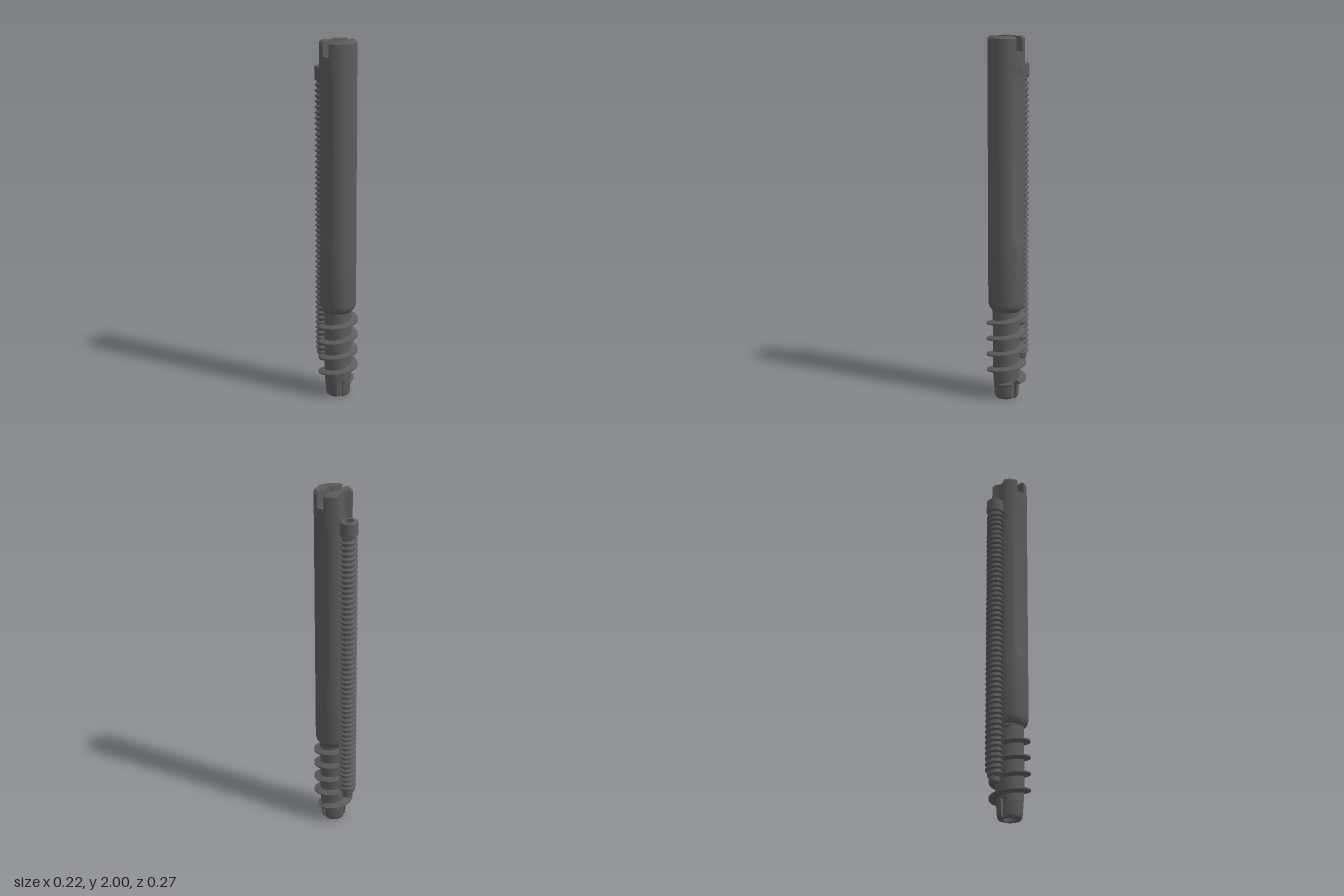
import * as THREE from 'three';
import { toCreasedNormals } from 'three/addons/utils/BufferGeometryUtils.js';

const RAD = Math.PI / 180;
const BORE = 0.036, SLOT = 0.022, FLAT = 0.09;

// Collects quads as triangles and returns a geometry with creased normals
function quadBuilder() {
  const pos = [];
  const tri = (a, b, c) => {
    const n = b.clone().sub(a).cross(c.clone().sub(a));
    if (n.length() > 1e-10) for (const p of [a, b, c]) pos.push(p.x, p.y, p.z);
  };
  return {
    quad(a, b, c, d) { tri(a, b, c); tri(a, c, d); },
    build(crease = 0.6) {
      const g = new THREE.BufferGeometry();
      g.setAttribute('position', new THREE.Float32BufferAttribute(pos, 3));
      return toCreasedNormals(g, crease);
    },
  };
}

const polar = (r, deg, y) => new THREE.Vector3(r * Math.cos(deg * RAD), y, r * Math.sin(deg * RAD));
const angleGap = (a, b) => Math.abs(((a - b + 540) % 360 + 360) % 360 - 180);

// Hollow solid: every ring is { y, out(angle), inn(angle) }, zero-thickness spans stay open
function loft(rings, angles) {
  const q = quadBuilder();
  const pts = rings.map(({ y, out, inn }) => angles.map((a) => {
    const o = out(a), i = Math.min(inn(a), o);
    return { o: polar(o, a, y), i: polar(i, a, y), thick: o - i };
  }));
  const last = rings.length - 1;
  for (let k = 0; k < angles.length; k++) {
    const n = (k + 1) % angles.length;
    const solid = (r) => pts[r][k].thick + pts[r][n].thick > 1e-5;
    for (let r = 0; r < last; r++) {
      if (!solid(r)) continue;
      const [lo, hi] = [pts[r], pts[r + 1]];
      q.quad(lo[k].o, hi[k].o, hi[n].o, lo[n].o);
      q.quad(lo[n].i, hi[n].i, hi[k].i, lo[k].i);
    }
    const [b, t] = [pts[0], pts[last]];
    q.quad(b[k].o, b[n].o, b[n].i, b[k].i);
    q.quad(t[k].i, t[n].i, t[n].o, t[k].o);
  }
  return q.build();
}

// Right-handed helical ridge; radius is cut by limit(angle, y)
function thread({ y0, y1, pitch, phase = 0, root, tip, base, crest, taper, angles, limit = () => 9 }) {
  const q = quadBuilder();
  const down = [...angles].reverse();
  let prev = null;
  for (let turn = -1; turn <= (y1 - y0) / pitch + 1; turn++) {
    for (const a of down) {
      const y = y0 + phase + pitch * (turn + 1 - a / 360);
      if (y < y0 || y > y1) continue;
      const fade = Math.min(1, (y - y0) / taper, (y1 - y) / taper);
      const top = root + (tip - root) * fade;
      const cut = limit(a, y) * 0.985;
      const row = [[root, -base], [top, -crest], [top, crest], [root, base]]
        .map(([r, h]) => polar(Math.min(r, cut), a, y + h));
      if (prev) for (let j = 0; j < 3; j++) q.quad(prev[j], row[j], row[j + 1], prev[j + 1]);
      prev = row;
    }
  }
  return q.build();
}

// Rear channel that cradles the small screw: round floor with flared lips
function channel(a) {
  const d = angleGap(a, 270) * RAD;
  if (d < 24.5 * RAD) {
    return 0.109 * Math.cos(d) - Math.sqrt(0.05 ** 2 - (0.109 * Math.sin(d)) ** 2);
  }
  if (d > 36 * RAD) return 9;
  const [ax, ay, bx, by] = [0.032, 0.07, 0.062, 0.094];
  return (ax * (by - ay) - ay * (bx - ax)) / (Math.sin(d) * (by - ay) - Math.cos(d) * (bx - ax));
}

// Everything cut out of the shaft at a given angle and height
function shaftLimit(a, y) {
  if (y < 0.1) return [7, 127, 247].some((c) => angleGap(a, c) < 14) ? 0.054 : 9;
  return y > 0.17 ? channel(a) : 9;
}

function sortedAngles(step, extras) {
  const set = new Set(extras.map((a) => (a + 360) % 360));
  for (let a = 0; a < 360; a += step) set.add(a);
  return [...set].sort((a, b) => a - b);
}

export function createModel() {
  const group = new THREE.Group();
  const steel = new THREE.MeshStandardMaterial({ color: 0x5c5c5c });
  steel.name = 'dark steel';
  const add = (name, geometry, parent) => {
    const mesh = new THREE.Mesh(geometry, steel);
    mesh.name = name;
    parent.add(mesh);
    return mesh;
  };

  // Angles that carry the edges of the channel, slot, flats and cutting flutes
  const extras = [];
  for (let d = 20; d <= 36; d++) extras.push(270 - d, 270 + d);
  const slotAngle = Math.asin(SLOT / 0.1) / RAD, flatAngle = Math.acos(FLAT / 0.1) / RAD;
  for (const e of [slotAngle, flatAngle]) extras.push(e, -e, 180 - e, 180 + e);
  for (const c of [7, 127, 247]) extras.push(c - 14.2, c - 13.8, c + 13.8, c + 14.2);
  const angles = sortedAngles(5, extras);

  const shaft = new THREE.Group();
  shaft.name = 'shaft';
  shaft.position.z = 0.022;
  group.add(shaft);

  // Outer ring with optional side flats
  const ring = (y, R, flat, inn) => ({
    y,
    out: (a) => Math.min(R, flat / Math.max(1e-6, Math.abs(Math.cos(a * RAD))), shaftLimit(a, y)),
    inn,
  });
  const bore = () => BORE;
  const profile = [
    [0, 0.058], [0.006, 0.064], [0.018, 0.067], [0.0999, 0.073], [0.1001, 0.073],
    [0.1699, 0.075], [0.1701, 0.075], [0.5, 0.076], [0.512, 0.086], [0.525, 0.095], [0.545, 0.1],
    [0.87, 0.1], [0.9, 0.1, 0.097], [0.925, 0.1, 0.093], [0.95, 0.1, FLAT],
    [1.79, 0.1, FLAT], [1.81, 0.1, 0.093], [1.83, 0.1, 0.097], [1.85, 0.1], [1.92, 0.1],
  ];
  add('shaftBody', loft(profile.map(([y, R, flat = 9]) => ring(y, R, flat, bore)), angles), shaft);

  // Head split by the driver slot, with a chamfered rim
  const slotted = (a) => Math.max(BORE, SLOT / Math.max(1e-6, Math.abs(Math.sin(a * RAD))));
  add('slottedHead', loft([[1.92, 0.1], [1.988, 0.1], [2, 0.089]]
    .map(([y, R]) => ring(y, R, 9, slotted)), angles), shaft);

  // Coarse thread at the lower end
  add('coarseThread', thread({
    y0: 0.07, y1: 0.51, pitch: 0.09, phase: 0.03, root: 0.062, tip: 0.11,
    base: 0.019, crest: 0.004, taper: 0.035, angles, limit: shaftLimit,
  }), shaft);

  // Small locking screw lying in the channel
  const screw = new THREE.Group();
  screw.name = 'lockingScrew';
  screw.position.z = -0.0855;
  group.add(screw);

  const core = [[0, 0.175], [0.024, 0.175], [0.029, 0.181], [0.029, 0.205], [0.036, 0.215], [0.036, 1.785]]
    .map(([x, y]) => new THREE.Vector2(x, y));
  add('screwCore', toCreasedNormals(new THREE.LatheGeometry(core, 32), 0.6), screw);
  add('fineThread', thread({
    y0: 0.21, y1: 1.785, pitch: 0.03, root: 0.034, tip: 0.047,
    base: 0.012, crest: 0.003, taper: 0.02, angles: sortedAngles(15, []),
  }), screw);

  // Screw head with a hexagonal socket and a dished socket floor
  const hex = (a) => 0.0245 / Math.cos(((a % 60) - 30) * RAD);
  const headAngles = sortedAngles(7.5, []);
  add('screwHead', loft([[1.778, 0.044], [1.782, 0.048], [1.849, 0.048], [1.855, 0.042]]
    .map(([y, R]) => ({ y, out: () => R, inn: hex })), headAngles), screw);
  const dish = [new THREE.Vector2(0.0283, 1.825), new THREE.Vector2(0, 1.811)];
  add('socketFloor', toCreasedNormals(new THREE.LatheGeometry(dish, 6), 0.05), screw)
    .rotation.y = Math.PI / 6;

  return group;
}
